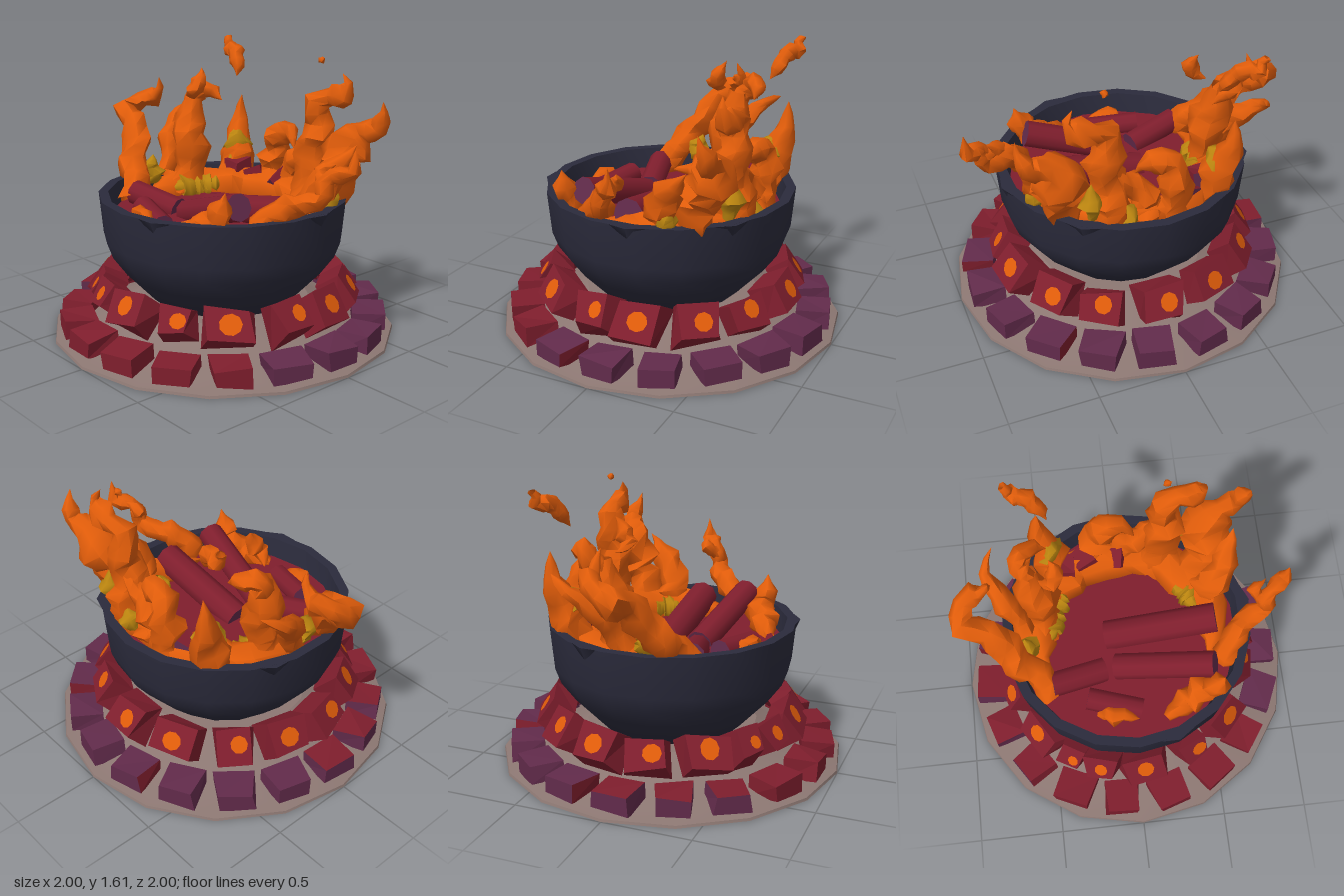
import * as THREE from 'three';
import { toCreasedNormals } from 'three/addons/utils/BufferGeometryUtils.js';

const mat = (name, color, side = THREE.FrontSide) => {
  const m = new THREE.MeshStandardMaterial({ color, side });
  m.name = name;
  return m;
};

export function createModel() {
  const model = new THREE.Group();
  model.name = 'fireBowl';
  const ash = mat('ashGround', 0x8c7772);
  const iron = mat('darkIron', 0x2b2b3c);
  const red = mat('emberRed', 0x7f1e2d);
  const purple = mat('coolPurple', 0x622b4b);
  const orange = mat('flameOrange', 0xe05c0a, THREE.DoubleSide);
  const gold = mat('flameGold', 0xba840f, THREE.DoubleSide);

  let seed = 7;
  const rand = () => (seed = (seed * 16807) % 2147483647) / 2147483647;
  const jit = (a) => (rand() * 2 - 1) * a;
  const rad = THREE.MathUtils.degToRad;
  const V = (p) => new THREE.Vector3(...p);

  const add = (name, geo, material, parent = model) => {
    const mesh = new THREE.Mesh(geo, material);
    mesh.name = name;
    parent.add(mesh);
    return mesh;
  };
  const lathe = (pts, sides) =>
    new THREE.LatheGeometry(pts.map((p) => new THREE.Vector2(...p)), sides);
  const ringSpot = (name, angle, radius, y) => {
    const g = new THREE.Group();
    g.name = name;
    g.position.set(Math.sin(rad(angle)) * radius, y, Math.cos(rad(angle)) * radius);
    g.rotation.y = rad(angle);
    model.add(g);
    return g;
  };

  // Low ash mound
  add('ground', toCreasedNormals(lathe(
    [[0, 0], [1, 0], [0.995, 0.014], [0.72, 0.07], [0.5, 0.19], [0, 0.21]], 16), 0.4), ash);

  // Bowl, ember bed and a few chipped wedges under the rim
  add('bowl', toCreasedNormals(lathe([[0, 0.18], [0.42, 0.2], [0.58, 0.37], [0.66, 0.48], [0.693, 0.57],
    [0.715, 0.81], [0.66, 0.81], [0.635, 0.66]], 18), 0.8), iron);
  const bed = add('emberBed', new THREE.CylinderGeometry(0.65, 0.62, 0.04, 18), red);
  bed.position.y = 0.67;
  for (const angle of [18, 97, 143, 250]) {
    const chip = add('chip', new THREE.ConeGeometry(0.1, 0.075, 4), iron, ringSpot('rimChip', angle, 0.7, 0.772));
    chip.rotation.x = Math.PI;
    chip.scale.z = 0.32;
  }

  // Uneven block: corners move sideways only, so the front stays flat
  const stoneGeo = (w, h, d, j) => {
    const g = new THREE.BoxGeometry(w, h, d), p = g.attributes.position, moves = {};
    for (let i = 0; i < p.count; i++) {
      const key = [p.getX(i), p.getY(i), p.getZ(i)].map(Math.sign).join();
      const m = (moves[key] ??= [jit(j), jit(j)]);
      const s = p.getZ(i) > 0 ? 0.9 : 1;
      p.setXY(i, p.getX(i) * s + m[0], p.getY(i) * s + m[1]);
    }
    const flat = g.toNonIndexed();
    flat.computeVertexNormals();
    return flat;
  };

  // Outer ring of low stones: red in front, purple behind, mixed faces between
  for (let angle = -168; angle < 180; angle += 20) {
    const top = angle > -100 && angle < 60 ? red : purple;
    const face = angle > -30 && angle < 54 ? red : purple;
    const end = angle % 3 === 0 ? red : face;
    const s = add('stone', stoneGeo(0.22, 0.115, 0.19, 0.014),
      [end, face, top, face, face, top], ringSpot('outerStone', angle, 0.85, 0.08));
    s.rotation.y = jit(0.15);
  }

  // Inner ring of leaning stones with glowing spots
  const inner = [[3, 0.26], [28, 0.2], [52, 0.27], [80, 0.22], [102, 0.25], [127, 0.24], [152, 0.24],
    [178, 0.25], [205, 0.24], [232, 0.23], [257, 0.25], [281, 0.23], [307, 0.28], [326, 0.17], [342, 0.2]];
  inner.forEach(([angle, w], i) => {
    const g = ringSpot('innerStone', angle, 0.68, 0.25);
    g.rotation.order = 'YXZ';
    g.rotation.x = -0.6;
    g.rotation.z = jit(0.15);
    add('stone', stoneGeo(w, w < 0.22 ? 0.17 : 0.2, 0.15, 0.025), red, g);
    const spot = add('glowSpot', new THREE.CircleGeometry(w * 0.22, 9), orange, g);
    spot.position.set(i % 2 ? 0.03 : 0, i % 3 ? 0 : 0.015, 0.079);
    spot.scale.x = 0.8 + 0.4 * rand();
  });

  // Logs, each from a buried end to a raised end
  const logs = [
    [[-0.12, 0.68, 0], [0.52, 0.8, 0], 0.088], [[-0.08, 0.7, 0.2], [0.47, 0.87, 0.3], 0.076],
    [[-0.15, 0.7, 0.21], [-0.46, 0.76, 0.29], 0.072], [[-0.26, 0.73, 0.38], [0.04, 0.7, 0.47], 0.065],
  ];
  for (const [a, b, r] of logs) {
    const d = V(b).sub(V(a));
    const log = add('log', new THREE.CylinderGeometry(r, r, d.length(), 9), [red, purple, purple]);
    log.position.copy(V(a)).addScaledVector(d, 0.5);
    log.quaternion.setFromUnitVectors(new THREE.Vector3(0, 1, 0), d.normalize());
  }

  // Loose embers tucked into the back flames
  for (const [x, y, z] of [[-0.32, 0.82, -0.4], [0, 0.78, -0.45], [-0.2, 0.78, -0.45]]) {
    const e = add('ember', stoneGeo(0.12, 0.12, 0.12, 0.015), [red, purple, red, red, purple, red]);
    e.position.set(x, y, z);
    e.rotation.set(0.5, x * 5, 0.5);
  }

  // Flame: a tube along a path, its rings shifted and rescaled to the listed radii
  const flame = (name, pts, radii, material = orange, rough = 0.22) => {
    const curve = new THREE.CatmullRomCurve3(pts.map(V));
    const seg = pts.length * 2, sides = 7;
    const g = new THREE.TubeGeometry(curve, seg, 1, sides), p = g.attributes.position;
    const c = new THREE.Vector3(), v = new THREE.Vector3();
    for (let i = 0; i <= seg; i++) {
      curve.getPointAt(i / seg, c);
      const t = (i / seg) * (radii.length - 1), k = Math.min(Math.floor(t), radii.length - 2);
      const r = THREE.MathUtils.lerp(radii[k], radii[k + 1], t - k) * (1 + jit(0.15));
      const shift = V([jit(0.25), jit(0.12), jit(0.25)]).multiplyScalar(r);
      const scale = Array.from({ length: sides }, () => r * (1 + jit(rough)));
      for (let j = 0; j <= sides; j++) {
        const n = i * (sides + 1) + j;
        v.fromBufferAttribute(p, n).sub(c).multiplyScalar(scale[j % sides]).add(c).add(shift);
        p.setXYZ(n, v.x, v.y, v.z);
      }
    }
    add(name, toCreasedNormals(g, 1.1), material);
  };

  // Low banks of fire inside the bowl; angles run from the back, positive towards -x
  const arc = (from, to, radius, y) => Array.from({ length: 9 }, (_, i) => {
    const a = rad(180 + THREE.MathUtils.lerp(from, to, i / 8));
    return [Math.sin(a) * radius, y, Math.cos(a) * radius * 0.95];
  });
  flame('fireBank', arc(-118, 118, 0.51, 0.72), [0, 0.1, 0.12, 0.12, 0.11, 0.11, 0.12, 0.1, 0], orange, 0.12);
  flame('goldBank', arc(45, 95, 0.445, 0.735), [0, 0.065, 0.075, 0.07, 0], gold, 0.1);
  flame('goldBank', arc(-78, -42, 0.435, 0.735), [0, 0.055, 0.07, 0.055, 0], gold, 0.1);

  // Tall tongues
  flame('leftFlame', [[-0.48, 0.7, 0.3], [-0.58, 0.84, 0.2], [-0.68, 0.98, 0.12], [-0.76, 1.09, 0.08],
    [-0.9, 1.14, 0], [-0.88, 1.21, -0.1], [-0.76, 1.25, -0.12], [-0.72, 1.37, -0.1]],
    [0.08, 0.09, 0.09, 0.08, 0.08, 0.065, 0.05, 0]);
  flame('leftFlameBranch', [[-0.57, 0.8, -0.05], [-0.66, 1.0, -0.15], [-0.75, 1.13, -0.28], [-0.7, 1.2, -0.4]],
    [0.07, 0.065, 0.05, 0]);
  flame('leftInnerFlame', [[-0.49, 0.7, -0.1], [-0.46, 0.9, -0.13], [-0.49, 1.1, -0.17], [-0.5, 1.25, -0.2]],
    [0.11, 0.09, 0.1, 0.05]);
  flame('leftInnerCurl', [[-0.52, 1.2, -0.2], [-0.57, 1.28, -0.26], [-0.5, 1.3, -0.32], [-0.4, 1.24, -0.34]],
    [0.05, 0.06, 0.05, 0]);
  flame('backLeftFlame', [[-0.38, 0.7, -0.38], [-0.4, 0.88, -0.47], [-0.45, 1.08, -0.53], [-0.44, 1.25, -0.54]],
    [0.1, 0.1, 0.08, 0]);
  flame('backMiddleFlame', [[-0.13, 0.72, -0.48], [-0.12, 0.92, -0.52], [-0.06, 1.05, -0.5], [0.04, 1.08, -0.5],
    [0.1, 1.0, -0.47]], [0.09, 0.085, 0.085, 0.07, 0]);
  flame('backFoothill', [[0.02, 0.72, -0.48], [0.06, 0.88, -0.5], [0.16, 0.95, -0.5], [0.24, 1.05, -0.5]],
    [0.1, 0.08, 0.08, 0.04]);
  flame('backRightFlame', [[0.22, 0.72, -0.46], [0.25, 0.95, -0.48], [0.27, 1.15, -0.5], [0.28, 1.32, -0.5],
    [0.4, 1.36, -0.52], [0.48, 1.4, -0.52], [0.44, 1.49, -0.5]], [0.13, 0.11, 0.1, 0.09, 0.07, 0.07, 0]);
  flame('rightBackFlame', [[0.43, 0.74, -0.3], [0.49, 0.9, -0.38], [0.51, 1.08, -0.46], [0.58, 1.17, -0.52],
    [0.68, 1.2, -0.53], [0.72, 1.27, -0.52], [0.74, 1.37, -0.5]], [0.1, 0.11, 0.13, 0.12, 0.07, 0.05, 0]);
  flame('rightBackFoot', [[0.5, 0.74, -0.18], [0.55, 0.9, -0.23], [0.61, 1.02, -0.3], [0.65, 1.13, -0.4]],
    [0.08, 0.09, 0.08, 0]);
  flame('rightFlame', [[0.54, 0.72, 0.25], [0.6, 0.85, 0.16], [0.7, 0.9, 0.06], [0.79, 0.92, 0.02],
    [0.8, 1.04, -0.02], [0.9, 1.08, -0.09], [0.91, 1.2, -0.1]], [0.07, 0.08, 0.07, 0.06, 0.045, 0.045, 0]);
  flame('rightFlameTip', [[0.78, 1.0, 0], [0.73, 1.05, -0.04], [0.79, 1.1, -0.09]], [0.04, 0.04, 0]);
  flame('frontRightFlame', [[0.18, 0.7, 0.54], [0.3, 0.73, 0.45], [0.4, 0.78, 0.43], [0.47, 0.86, 0.43],
    [0.5, 0.98, 0.42]], [0.03, 0.07, 0.08, 0.07, 0]);
  flame('logFlame', [[-0.2, 0.68, 0.46], [-0.1, 0.74, 0.5], [0.02, 0.72, 0.53]], [0.03, 0.06, 0]);

  // Torn-off wisps
  flame('highWisp', [[-0.59, 1.6, -0.55], [-0.55, 1.53, -0.54], [-0.47, 1.52, -0.51], [-0.41, 1.45, -0.48],
    [-0.38, 1.38, -0.44]], [0.02, 0.05, 0.045, 0.045, 0]);
  flame('lowWisp', [[-0.46, 1.28, -0.14], [-0.4, 1.31, -0.1], [-0.36, 1.38, -0.13], [-0.39, 1.46, -0.17]],
    [0, 0.045, 0.04, 0]);
  flame('smallWisp', [[0.25, 1.53, -0.5], [0.28, 1.55, -0.5], [0.3, 1.56, -0.5]], [0, 0.02, 0]);

  // Golden hearts showing through the flames
  const hearts = [
    [[-0.36, 0.86, -0.4], [-0.39, 0.97, -0.45], [-0.42, 1.08, -0.49], 0.07],
    [[0.34, 0.8, -0.5], [0.36, 0.92, -0.53], [0.36, 1.04, -0.53], 0.06],
    [[0.14, 0.74, -0.53], [0.16, 0.82, -0.56], [0.19, 0.88, -0.55], 0.07],
    [[0.55, 0.76, -0.24], [0.59, 0.84, -0.26], [0.6, 0.93, -0.29], 0.07],
    [[-0.55, 0.76, 0.06], [-0.57, 0.84, 0.08], [-0.58, 0.93, 0.06], 0.07],
  ];
  for (const [a, b, c, r] of hearts) flame('goldHeart', [a, b, c], [0.03, r, 0], gold);
  return model;
}
